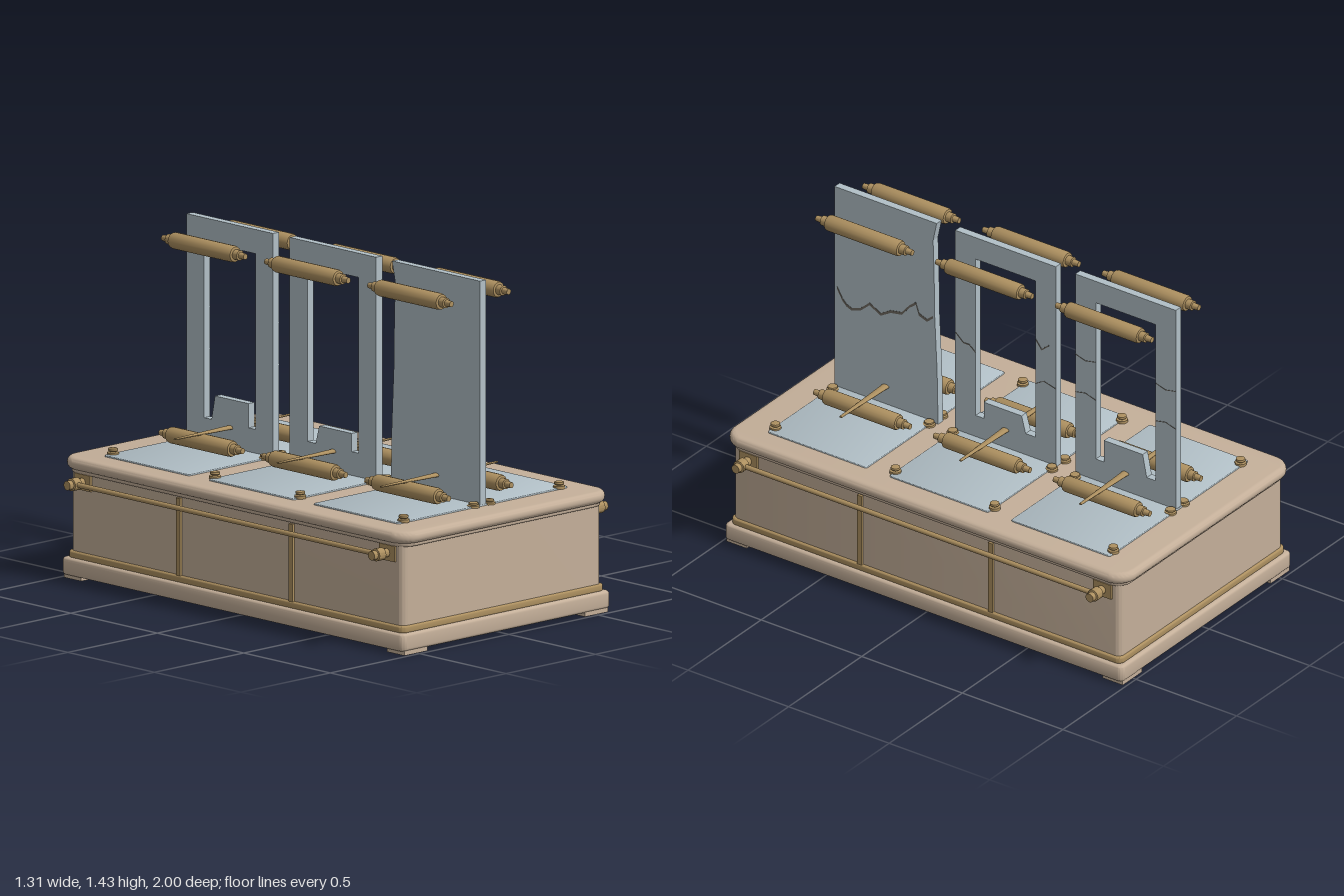
import * as THREE from 'three';
import { toCreasedNormals } from 'three/addons/utils/BufferGeometryUtils.js';

const mat = (name, color) => {
  const m = new THREE.MeshStandardMaterial({ color });
  m.name = name;
  return m;
};

export function createModel() {
  const stone = mat('warm stone', 0xc4af99);
  const glass = mat('pale blue', 0xb2c0c7);
  const brass = mat('brass', 0xad9060);
  const dark = mat('crack shade', 0x6f6a62);
  const root = new THREE.Group();

  const add = (name, geo, material, x = 0, y = 0, z = 0, parent = root) => {
    const m = new THREE.Mesh(geo, material);
    m.name = name;
    m.position.set(x, y, z);
    parent.add(m);
    return m;
  };
  const box = (name, material, w, h, d, x, y, z) =>
    add(name, new THREE.BoxGeometry(w, h, d), material, x, y, z);

  // horizontal slab with rounded corners and rounded rims; hx, hz are half sizes
  const slab = (name, material, hx, hz, r, y0, y1, bevel, x = 0, z = 0) => {
    const a = hx - bevel, b = hz - bevel, q = Math.max(r - bevel, 0.002);
    const s = new THREE.Shape();
    s.moveTo(-a + q, -b);
    s.lineTo(a - q, -b).absarc(a - q, -b + q, q, -Math.PI / 2, 0);
    s.lineTo(a, b - q).absarc(a - q, b - q, q, 0, Math.PI / 2);
    s.lineTo(-a + q, b).absarc(-a + q, b - q, q, Math.PI / 2, Math.PI);
    s.lineTo(-a, -b + q).absarc(-a + q, -b + q, q, Math.PI, Math.PI * 1.5);
    const g = new THREE.ExtrudeGeometry(s, {
      depth: y1 - y0 - 2 * bevel, curveSegments: 8, bevelEnabled: bevel > 0,
      bevelSize: bevel, bevelThickness: bevel, bevelSegments: 4,
    });
    g.rotateX(-Math.PI / 2).translate(0, y0 + bevel, 0);
    return add(name, toCreasedNormals(g, 0.6), material, x, 0, z);
  };

  // base, body and lid
  slab('plinth', stone, 0.585, 0.99, 0.025, 0.015, 0.088, 0.015);
  slab('bottomBand', brass, 0.568, 0.972, 0.03, 0.085, 0.116, 0.008);
  slab('body', stone, 0.558, 0.963, 0.03, 0.11, 0.45, 0);
  slab('lidLip', stone, 0.57, 0.98, 0.07, 0.44, 0.47, 0.008);
  slab('lid', stone, 0.588, 1.0, 0.09, 0.455, 0.505, 0.022);

  for (const sx of [-1, 1]) {
    for (const sz of [-1, 1]) {
      box('foot', stone, 0.13, 0.02, 0.1, sx * 0.505, 0.01, sz * 0.935);
      // rail mounts
      box('railBracket', brass, 0.014, 0.065, 0.09, sx * 0.561, 0.408, sz * 0.88);
      const knob = new THREE.LatheGeometry([
        [0, 0], [0.018, 0], [0.018, 0.035], [0.026, 0.037], [0.026, 0.073],
        [0.019, 0.075], [0.019, 0.096], [0, 0.096],
      ].map(p => new THREE.Vector2(...p)), 16);
      add('railKnob', toCreasedNormals(knob, 0.6), brass, sx * 0.558, 0.408, sz * 0.88)
        .rotation.z = -sx * Math.PI / 2;
      box('sideStrip', brass, 0.014, 0.32, 0.022, sx * 0.562, 0.275, sz * 0.325);
    }
    const rail = new THREE.CylinderGeometry(0.011, 0.011, 1.76, 12).rotateX(Math.PI / 2);
    add('sideRail', rail, brass, sx * 0.612, 0.408, 0);
  }

  // spindle with stepped ends, lying along z
  const rollerGeo = toCreasedNormals(new THREE.LatheGeometry([
    [0, -0.238], [0.012, -0.238], [0.014, -0.21], [0.021, -0.208], [0.021, -0.182],
    [0.031, -0.18], [0.034, -0.17], [0.034, 0.17], [0.031, 0.18],
    [0.021, 0.182], [0.021, 0.208], [0.014, 0.21], [0.012, 0.238], [0, 0.238],
  ].map(p => new THREE.Vector2(...p)), 16), 0.6).rotateX(Math.PI / 2);

  const studGeo = toCreasedNormals(new THREE.LatheGeometry([
    [0, 0], [0.024, 0], [0.024, 0.012], [0.015, 0.015], [0.02, 0.02], [0.019, 0.028], [0, 0.032],
  ].map(p => new THREE.Vector2(...p)), 14), 0.6);

  // upright panel from an outline of [z, y] points, extruded along x
  const outline = (pts, Type) => new Type(pts.map(([z, y]) => new THREE.Vector2(-z, y)));
  const upright = (name, pts, hole) => {
    const s = outline(pts, THREE.Shape);
    if (hole) s.holes.push(outline(hole, THREE.Path));
    const g = new THREE.ExtrudeGeometry(s, { depth: 0.034, bevelEnabled: false });
    add(name, g.rotateY(Math.PI / 2), glass, -0.017, 0, 0);
  };
  // thin jagged ribbon on the +x face of a panel
  const crack = (pts, w) => {
    const loop = [...pts, ...pts.slice().reverse().map(([z, y]) => [z, y - w])];
    const g = new THREE.ExtrudeGeometry(outline(loop, THREE.Shape), { depth: 0.002, bevelEnabled: false });
    add('crack', g.rotateY(Math.PI / 2), dark, 0.0165, 0, 0);
  };

  upright('solidPanel', [
    [0.85, 0.5], [0.335, 0.5], [0.34, 0.75], [0.352, 1.0], [0.355, 1.2],
    [0.36, 1.35], [0.342, 1.435], [0.85, 1.435],
  ]);
  const frame = (name, z, tabTop, l, r) => upright(name,
    [[z + 0.25, 0.5], [z - 0.25, 0.5], [z - 0.25, 1.435], [z + 0.25, 1.435]],
    [[z + 0.148, 0.61], [z + l, 0.61], [z + l, tabTop], [z - r, tabTop], [z - r - 0.02, 0.61],
      [z - 0.148, 0.61], [z - 0.148, 1.335], [z + 0.148, 1.335]]);
  frame('middleFrame', 0, 0.685, 0.108, 0.08);
  frame('rearFrame', -0.597, 0.71, 0.108, 0.085);

  crack([[0.836, 0.975], [0.81, 0.93], [0.79, 0.91], [0.765, 0.9], [0.72, 0.915], [0.675, 0.955],
    [0.62, 0.925], [0.57, 0.955], [0.515, 0.965], [0.477, 1.01], [0.445, 1.035],
    [0.43, 0.99], [0.39, 0.975], [0.36, 1.0]], 0.012);
  crack([[0.248, 0.965], [0.21, 0.93], [0.18, 0.93], [0.149, 0.905]], 0.005);
  crack([[-0.149, 1.07], [-0.18, 1.03], [-0.215, 1.06]], 0.007);
  crack([[-0.149, 0.86], [-0.19, 0.885], [-0.248, 0.87]], 0.003);
  for (const z of [-0.347, -0.746]) {
    crack([[z, 1.065], [z - 0.05, 1.05], [z - 0.1, 1.06]], 0.003);
    crack([[z, 0.89], [z - 0.05, 0.9], [z - 0.1, 0.885]], 0.003);
  }

  // three bays: inlaid plate, rollers, crossbar and studs
  const bays = [
    { z: 0.605, outer: [0.235], inner: [0.235, -0.245] },
    { z: 0, outer: [0.243, -0.25], inner: [0.243, -0.25] },
    { z: -0.605, outer: [-0.235], inner: [-0.235, 0.24] },
  ];
  for (const bay of bays) {
    slab('inlaidPlate', glass, 0.475, 0.246, 0.01, 0.495, 0.512, 0.004, 0, bay.z);
    const zr = bay.z * 0.985;
    for (const s of [-1, 1]) {
      add('lowerRoller', rollerGeo, brass, s * 0.175, 0.56, zr);
      add('upperRoller', rollerGeo, brass, s * 0.16, 1.36, zr);
      for (const dz of bay.outer) add('cornerStud', studGeo, brass, s * 0.435, 0.507, bay.z + dz);
      for (const dz of bay.inner) {
        const stud = add('hingeStud', studGeo, brass, s * 0.044, 0.505, bay.z + dz);
        stud.scale.set(1.05, 0.7, 1.05);
      }
      // tapered half of the crossbar
      const arm = new THREE.CylinderGeometry(0.007, 0.018, 0.325, 10)
        .rotateZ(-s * Math.PI / 2).scale(1, 0.5, 1);
      add('crossbar', arm, brass, s * 0.1625, 0.594, zr);
    }
  }
  return root;
}
